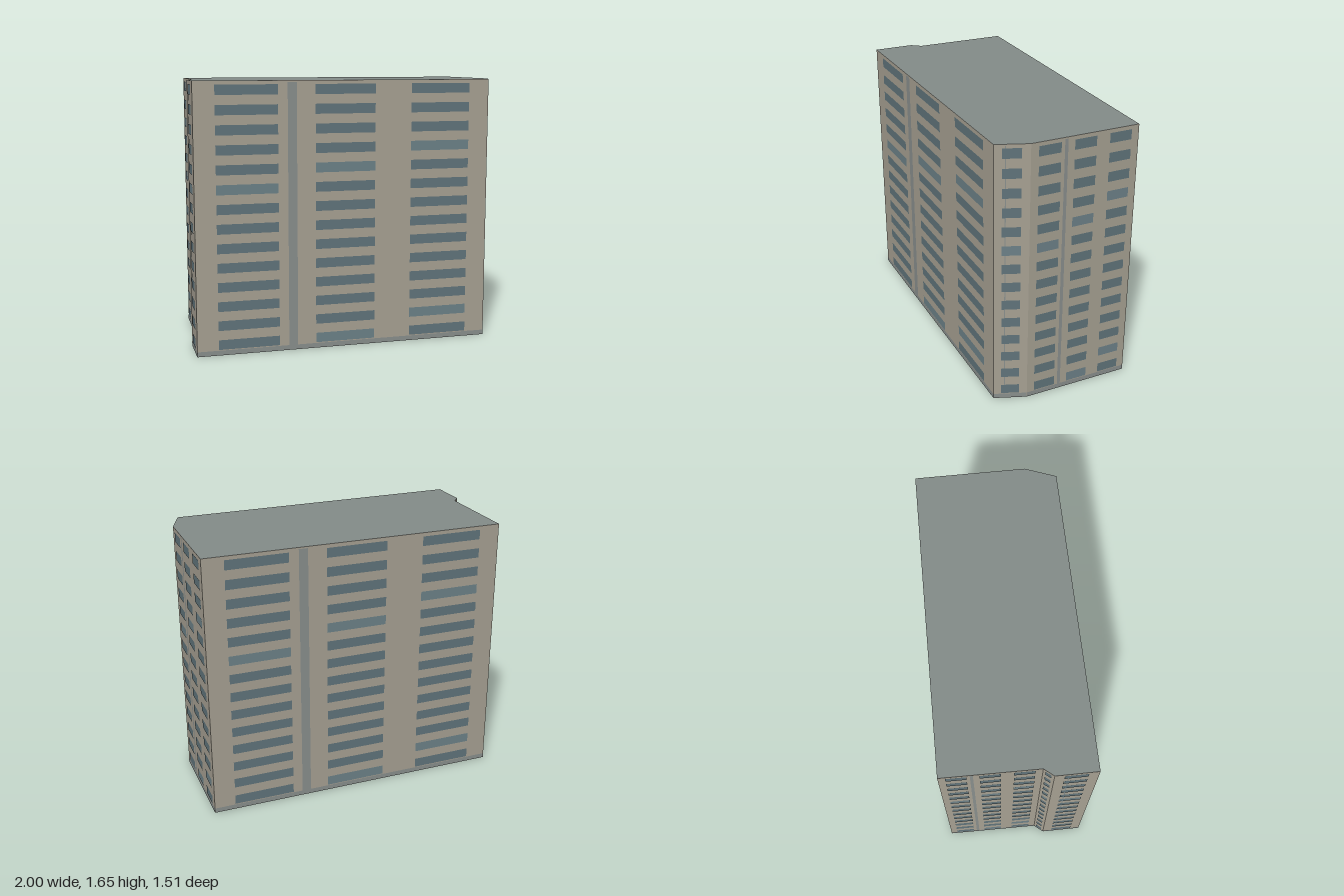
import * as THREE from 'three';
import { mergeGeometries } from 'three/addons/utils/BufferGeometryUtils.js';

const HEIGHT = 1.65, FLOORS = 14, STOREY = HEIGHT / FLOORS;

// Footprint corners [x, z], walking left to right as seen from outside
const FOOTPRINT = [
  [-0.73, 0.75], [1, 0.07], [1, -0.13], [0.76, -0.757],
  [-1, -0.10], [-0.797, 0.445], [-0.82, 0.515],
];

const paint = (color, side = THREE.FrontSide) =>
  new THREE.MeshStandardMaterial({ color, side, roughness: 0.9 });
const wallMat = paint(0xa8a294, THREE.DoubleSide);
const roofMat = paint(0x848c89, THREE.DoubleSide);
const trimMat = paint(0x8a908e);
const glassMat = paint(0x61757c);
const paleGlassMat = paint(0x6d8289);

// Upright rectangle from (x0, y0) to (x1, y1), set off by z
function panel(x0, x1, y0, y1, z) {
  return new THREE.PlaneGeometry(x1 - x0, y1 - y0)
    .translate((x0 + x1) / 2, (y0 + y1) / 2, z);
}

function addMesh(group, name, geometry, material) {
  const mesh = new THREE.Mesh(geometry, material);
  mesh.name = name;
  group.add(mesh);
}

// One facade, running along local +x and facing local +z
function facade([ax, az], [bx, bz]) {
  const group = new THREE.Group();
  group.name = 'facade';
  const length = Math.hypot(bx - ax, bz - az);
  group.position.set(ax, 0, az);
  group.rotation.y = Math.atan2(az - bz, bx - ax);

  addMesh(group, 'wall', panel(0, length, 0, HEIGHT, 0), wallMat);
  addMesh(group, 'baseBand', panel(0, length, 0, 0.03, 0.001), trimMat);
  addMesh(group, 'verticalStrip',
    panel(0.305 * length, 0.335 * length, 0.03, HEIGHT - 0.01, 0.001), trimMat);

  // Window columns as fractions of the wall: three on long walls, one on short
  const columns = length > 0.4
    ? [[0.07, 0.273], [0.397, 0.6], [0.725, 0.93]]
    : [[0.225, 0.76]];
  const dark = [], pale = [];
  columns.forEach(([from, to], col) => {
    for (let floor = 0; floor < FLOORS; floor++) {
      const y = 0.035 + floor * STOREY;
      const list = (floor - col + 9) % 9 === 8 ? pale : dark;
      list.push(panel(from * length, to * length, y, y + 0.06, 0.002));
    }
  });
  addMesh(group, 'windows', mergeGeometries(dark), glassMat);
  addMesh(group, 'paleWindows', mergeGeometries(pale), paleGlassMat);
  return group;
}

export function createModel() {
  const model = new THREE.Group();
  model.name = 'apartmentBlock';

  // Facades around the open-bottomed shell
  FOOTPRINT.forEach((corner, i) => {
    model.add(facade(corner, FOOTPRINT[(i + 1) % FOOTPRINT.length]));
  });

  // Flat roof
  const outline = new THREE.Shape(FOOTPRINT.map(([x, z]) => new THREE.Vector2(x, -z)));
  const roof = new THREE.ShapeGeometry(outline).rotateX(-Math.PI / 2).translate(0, HEIGHT, 0);
  addMesh(model, 'roof', roof, roofMat);
  return model;
}
